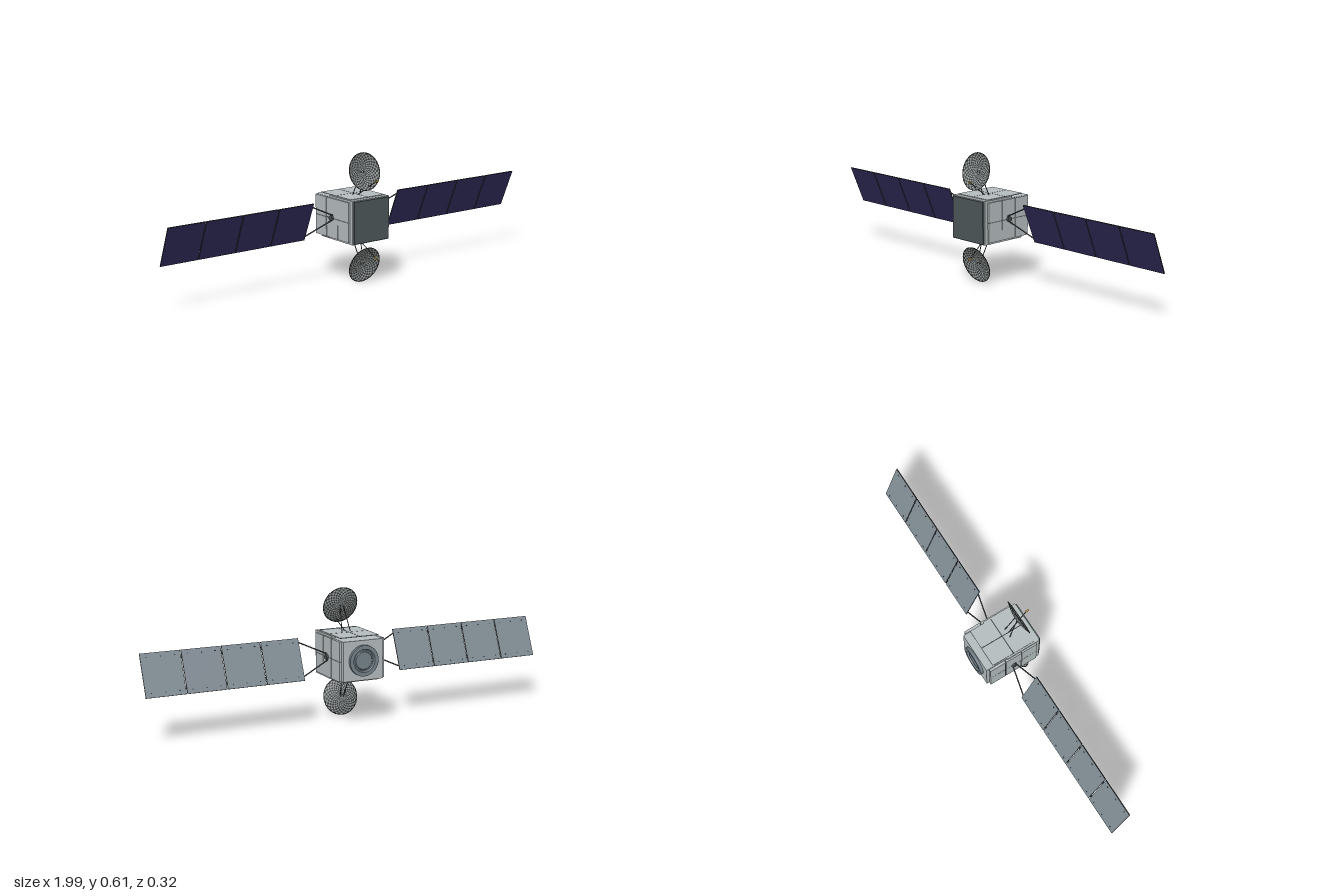
import * as THREE from 'three';
import { toCreasedNormals } from 'three/addons/utils/BufferGeometryUtils.js';

const mat = (name, color, side = THREE.FrontSide) => {
  const m = new THREE.MeshStandardMaterial({ color, side });
  m.name = name;
  return m;
};
const MID = 0.308; // height of the body centre

export function createModel() {
  const hull = mat('hull grey', 0xb3bbbd);
  const slate = mat('front slate', 0x4b5557);
  const seam = mat('seam dark', 0x2b2e30);
  const strutMat = mat('strut grey', 0x484b4e);
  const cell = mat('solar blue', 0x2d2a56);
  const backing = mat('panel backing', 0x818c94);
  const ringMat = mat('ring grey', 0x74818a);
  const gold = mat('feed gold', 0xc8962e);
  const meshDark = mat('dish dark', 0x3a3c3c, THREE.DoubleSide);
  const meshLight = mat('dish light', 0x959a9a, THREE.DoubleSide);

  const model = new THREE.Group();
  model.name = 'satellite';

  const add = (parent, name, geo, material, x = 0, y = 0, z = 0) => {
    const m = new THREE.Mesh(geo, material);
    m.name = name;
    m.position.set(x, y, z);
    parent.add(m);
    return m;
  };
  const box = (parent, name, material, w, h, d, x, y, z) =>
    add(parent, name, new THREE.BoxGeometry(w, h, d), material, x, y, z);
  // Cylinder between two points
  const rod = (parent, name, material, a, b, r, r2 = r) => {
    const p = new THREE.Vector3(...a), q = new THREE.Vector3(...b);
    const dir = q.clone().sub(p);
    const m = add(parent, name, new THREE.CylinderGeometry(r2, r, dir.length(), 10), material);
    m.position.copy(p).add(q).multiplyScalar(0.5);
    m.quaternion.setFromUnitVectors(new THREE.Vector3(0, 1, 0), dir.normalize());
    return m;
  };

  // Body: wide front section, slightly narrower rear section
  const body = new THREE.Group();
  body.name = 'body';
  model.add(body);
  box(body, 'frontSection', hull, 0.212, 0.204, 0.172, 0, MID, 0.052);
  box(body, 'rearSection', hull, 0.2, 0.186, 0.11, 0, MID, -0.088);
  box(body, 'frontPlate', slate, 0.2, 0.196, 0.008, 0, MID, 0.142);

  // Side cover plates, three by two, with dark seams between
  for (const s of [-1, 1]) {
    for (const z of [0.08, -0.004, -0.089])
      for (const y of [-0.047, 0.047])
        box(body, 'sidePlate', hull, 0.012, 0.092, 0.081, s * 0.108, MID + y, z);
    for (const z of [0.038, -0.0465])
      box(body, 'sideSeam', seam, 0.004, 0.188, 0.001, s * 0.11, MID, z);
    box(body, 'sideSeam', seam, 0.004, 0.001, 0.252, s * 0.11, MID, -0.004);
  }
  // Top and bottom cover plates, two by two, overhanging the rear section
  for (const s of [-1, 1]) {
    const y = MID + s * 0.1035;
    for (const x of [-0.05, 0.05])
      for (const z of [0.06, -0.053])
        box(body, s > 0 ? 'topPlate' : 'bottomPlate', hull, 0.096, 0.003, 0.109, x, y, z);
    box(body, 'coverSeam', seam, 0.004, 0.002, 0.222, 0, y, 0.004);
    box(body, 'coverSeam', seam, 0.196, 0.002, 0.004, 0, y, 0.0035);
  }

  // Round docking ring at the back, recessed in the middle
  const ringProfile = [[0.072, -0.002], [0.072, 0.014], [0.054, 0.014], [0.05, 0.003],
    [0.044, 0.003], [0.04, 0.008], [0, 0.008]].map(p => new THREE.Vector2(...p));
  const ring = add(model, 'rearRing',
    toCreasedNormals(new THREE.LatheGeometry(ringProfile, 48), 0.5), ringMat, 0, MID, -0.143);
  ring.rotation.x = -Math.PI / 2;

  // Solar wings, tilted with the top edge forward
  for (const s of [-1, 1]) {
    const wing = new THREE.Group();
    wing.name = s > 0 ? 'leftWing' : 'rightWing';
    wing.position.set(0, MID + 0.001, -0.004);
    wing.rotation.x = 0.395;
    model.add(wing);

    const pitch = 0.1888, w = 0.185, h = 0.198;
    for (let i = 0; i < 4; i++) {
      const x = s * (0.245 + pitch * i + w / 2);
      // Dark edges, blue front, grey back
      add(wing, 'solarPanel', new THREE.BoxGeometry(w, h, 0.005),
        [seam, seam, seam, seam, cell, backing], x, 0, 0);
      // Small fasteners on the back
      for (const fx of [-0.065, 0, 0.065])
        for (const fy of [-0.08, 0.08])
          box(wing, 'fastener', seam, 0.005, 0.004, 0.002, x + fx, fy, -0.003);
      // Hinges to the next panel
      if (i < 3)
        for (const y of [-0.07, 0.07])
          box(wing, 'hinge', seam, 0.008, 0.014, 0.004, s * (0.245 + pitch * (i + 1) - 0.002), y, -0.002);
    }
    // Forked yoke and its hub
    rod(wing, 'hub', strutMat, [s * 0.105, 0, 0], [s * 0.124, 0, 0], 0.013);
    for (const y of [-1, 1])
      rod(wing, 'yokeArm', strutMat, [s * 0.115, y * 0.015, 0], [s * 0.247, y * 0.08, 0], 0.003);
  }

  // Shallow mesh dish facing +z, rim in the plane z = 0
  const R = 0.0865, DEPTH = 0.017, RINGS = 11, SIDES = 44;
  const dishGeometry = () => {
    const pos = [], dark = [], light = [];
    for (let j = 0; j <= RINGS; j++)
      for (let i = 0; i <= SIDES; i++) {
        const r = j / RINGS, a = (i / SIDES) * Math.PI * 2;
        pos.push(R * r * Math.cos(a), R * r * Math.sin(a), DEPTH * (r * r - 1));
      }
    for (let j = 0; j < RINGS; j++)
      for (let i = 0; i < SIDES; i++) {
        const a = j * (SIDES + 1) + i, b = a + SIDES + 1;
        const list = (i + j) % 2 ? light : dark;
        list.push(a, b, b + 1, a, b + 1, a + 1);
      }
    const g = new THREE.BufferGeometry();
    g.setAttribute('position', new THREE.Float32BufferAttribute(pos, 3));
    g.setIndex([...dark, ...light]);
    g.addGroup(0, dark.length, 0);
    g.addGroup(dark.length, light.length, 1);
    g.computeVertexNormals();
    return g;
  };

  // Dish antennas above and below the body
  for (const s of [-1, 1]) {
    const antenna = new THREE.Group();
    antenna.name = s > 0 ? 'upperAntenna' : 'lowerAntenna';
    antenna.position.y = MID;
    model.add(antenna);

    const dish = new THREE.Group();
    dish.name = 'dish';
    dish.position.set(0, s * 0.2195, 0.0925);
    dish.rotation.x = -s * 0.26;
    antenna.add(dish);
    add(dish, 'reflector', dishGeometry(), [meshDark, meshLight]);
    add(dish, 'rim', new THREE.TorusGeometry(R, 0.0018, 6, 44), meshDark);

    for (const x of [-1, 1])
      rod(antenna, 'dishStrut', strutMat, [x * 0.022, s * 0.1, 0.03], [x * 0.008, s * 0.217, 0.077], 0.002);
    rod(antenna, 'feedArm', strutMat, [0, s * 0.1, 0.036], [0.02, s * 0.176, 0.145], 0.002);
    rod(antenna, 'feedHorn', gold, [0.02, s * 0.177, 0.143], [0.021, s * 0.182, 0.159], 0.0035, 0.0045);
  }

  return model;
}
